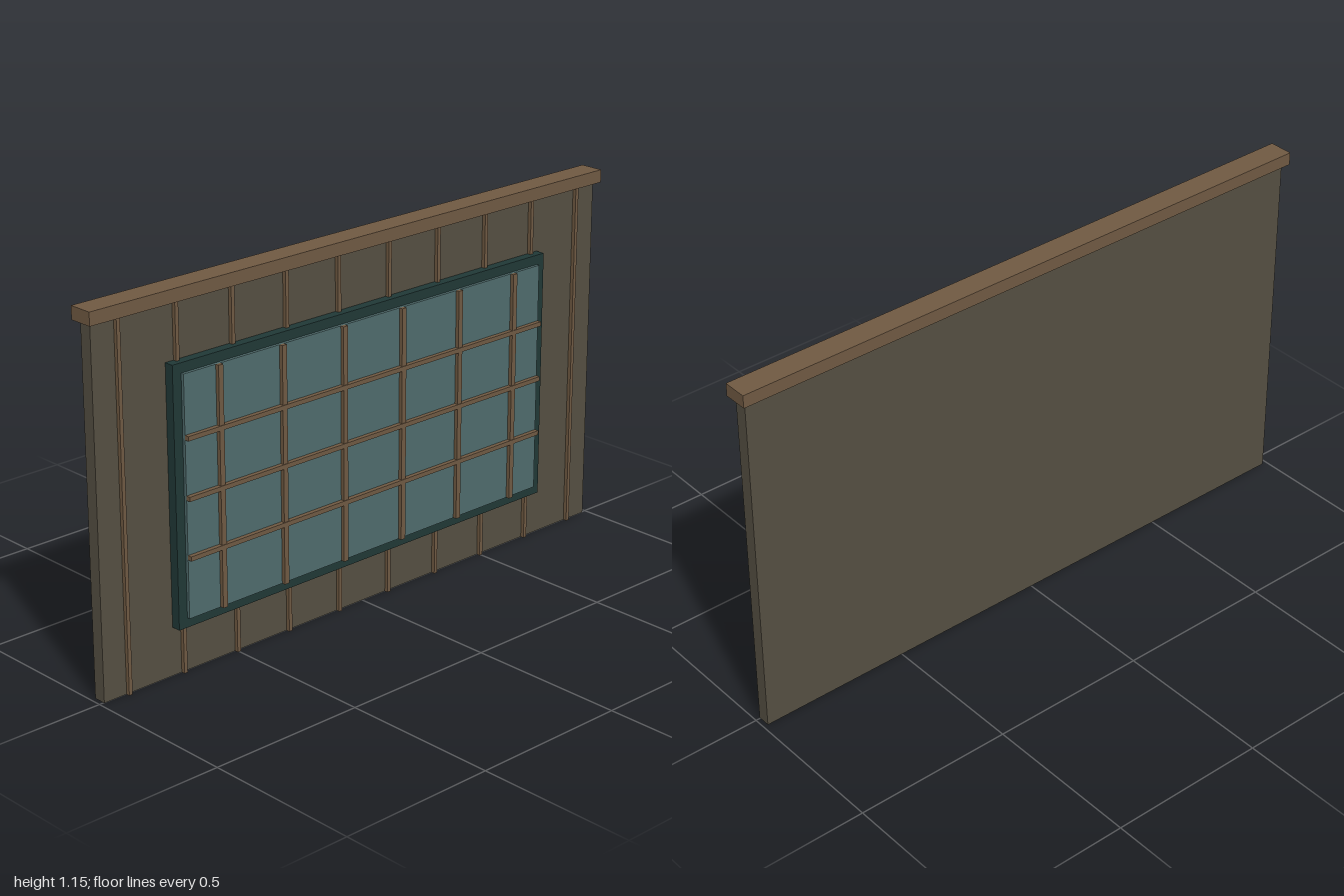
import * as THREE from 'three';

const paint = (name, color) => {
  const m = new THREE.MeshStandardMaterial({ color });
  m.name = name;
  return m;
};

export function createModel() {
  const wallMat = paint('weathered wall', 0x544e41);
  const woodMat = paint('brown wood', 0x6f5942);
  const frameMat = paint('dark teal frame', 0x203836);
  const glassMat = paint('teal glass', 0x4f6b6c);

  const model = new THREE.Group();
  model.name = 'windowWall';

  // Box given by its min and max corners
  const box = (name, mat, [x0, x1], [y0, y1], [z0, z1], parent = model) => {
    const mesh = new THREE.Mesh(new THREE.BoxGeometry(x1 - x0, y1 - y0, z1 - z0), mat);
    mesh.position.set((x0 + x1) / 2, (y0 + y1) / 2, (z0 + z1) / 2);
    mesh.name = name;
    parent.add(mesh);
  };
  const around = (c, width) => [c - width / 2, c + width / 2];

  // Wall panel and overhanging top rail
  box('wallPanel', wallMat, [-0.985, 0.985], [0, 1.11], [-0.037, 0.003]);
  box('topRail', woodMat, [-1, 1], [1.11, 1.15], [-0.055, 0.022]);

  // Thin vertical battens covering the plank seams
  const battens = new THREE.Group();
  battens.name = 'battens';
  model.add(battens);
  for (let i = 0; i < 10; i++) {
    box('batten', woodMat, around(-0.9 + i * 0.2, 0.012), [0, 1.11], [0.002, 0.015], battens);
  }

  // Window: backing frame, glass, then the grid of glazing bars
  const win = new THREE.Group();
  win.name = 'window';
  model.add(win);
  box('windowFrame', frameMat, [-0.735, 0.735], [0.15, 0.94], [0.002, 0.033], win);
  box('glass', glassMat, [-0.705, 0.705], [0.18, 0.91], [0.032, 0.043], win);
  for (let i = 0; i < 6; i++) {
    box('verticalBar', woodMat, around(-0.582 + i * 0.234, 0.017), [0.18, 0.91], [0.042, 0.055], win);
  }
  for (let i = 0; i < 3; i++) {
    box('horizontalBar', woodMat, [-0.705, 0.705], around(0.367 + i * 0.179, 0.014), [0.042, 0.057], win);
  }
  return model;
}
